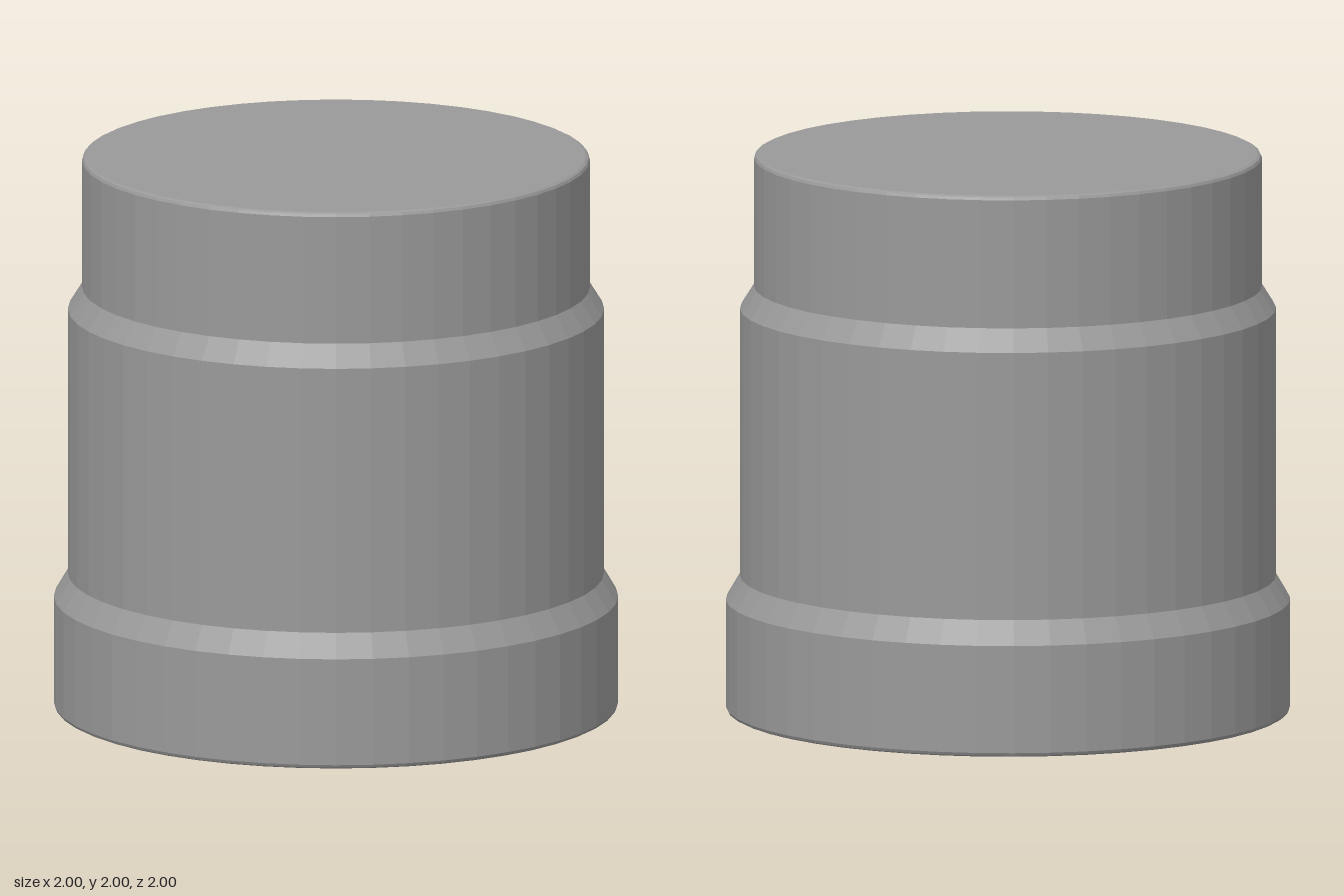
import * as THREE from 'three';

const SEGMENTS = 48;

export function createModel() {
  const group = new THREE.Group();
  group.name = 'steppedCylinder';

  const grey = new THREE.MeshStandardMaterial({ color: 0x999999 });
  grey.name = 'grey';
  grey.flatShading = true;

  // Each part is a band of the turned profile: [radius, height] from bottom to top
  const parts = {
    base: [[0, 0], [0.985, 0], [0.995, 0.005], [1, 0.015], [1, 0.4]],
    lowerShoulder: [[1, 0.4], [0.95, 0.485]],
    body: [[0.95, 0.485], [0.95, 1.445]],
    upperShoulder: [[0.95, 1.445], [0.9, 1.525]],
    cap: [[0.9, 1.525], [0.9, 1.985], [0.895, 1.995], [0.885, 2], [0, 2]],
  };

  for (const [name, profile] of Object.entries(parts)) {
    const points = profile.map(([r, y]) => new THREE.Vector2(r, y));
    const mesh = new THREE.Mesh(new THREE.LatheGeometry(points, SEGMENTS), grey);
    mesh.name = name;
    group.add(mesh);
  }
  return group;
}
